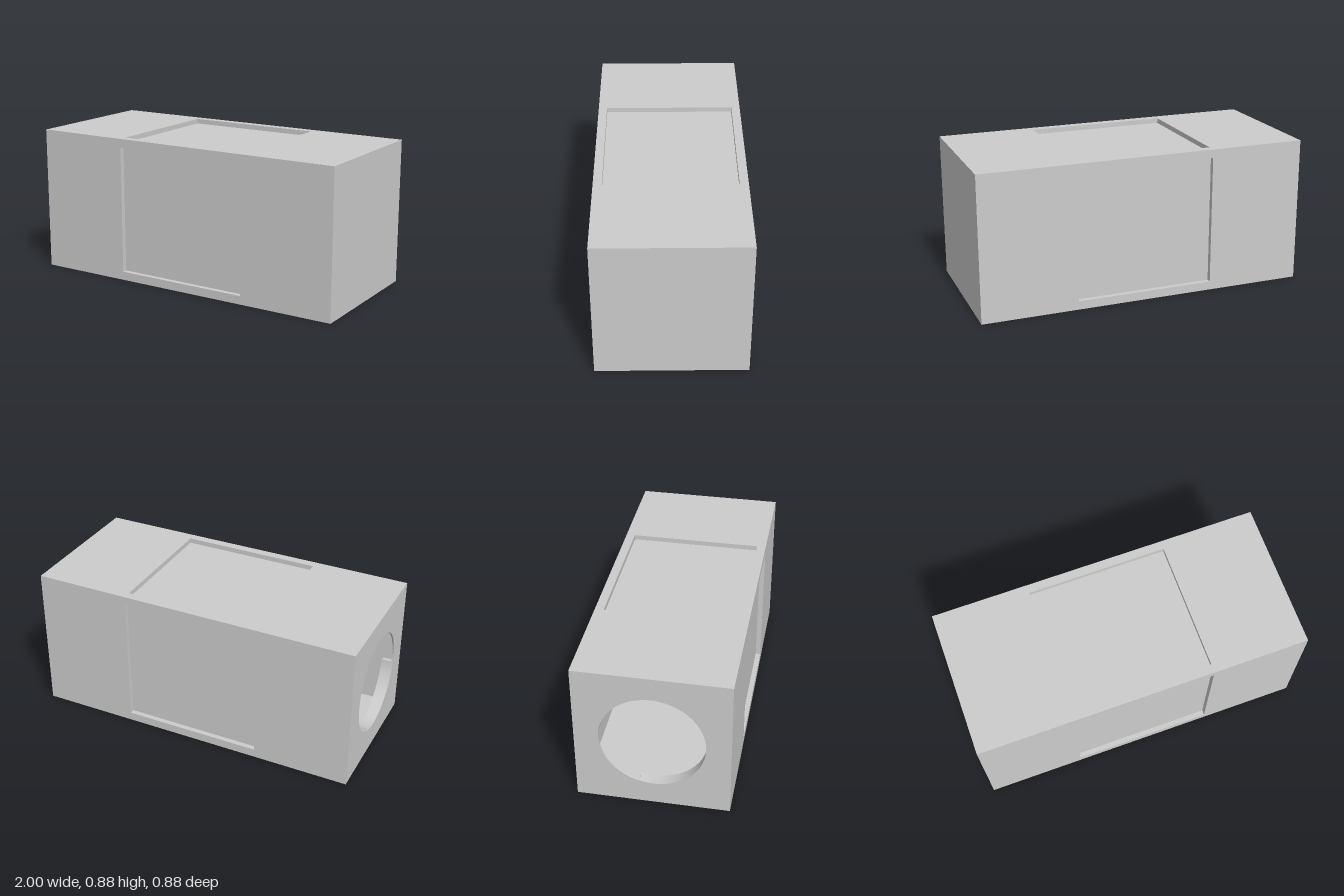
import * as THREE from 'three';

const HALF = 0.44;       // half width of the square section
const DEPTH = 0.03;      // depth of the recessed windows
const SKIN = 0.01;       // thickness of the window sheets and end plates
const HOLE = 0.30;       // radius of the end opening

const material = new THREE.MeshStandardMaterial({ color: 0xcccccc, side: THREE.DoubleSide });

function rectangle(Type, w, h) {
  const s = new Type();
  s.moveTo(-w, -h);
  s.lineTo(w, -h);
  s.lineTo(w, h);
  s.lineTo(-w, h);
  s.closePath();
  return s;
}

function extrude(shape, depth) {
  return new THREE.ExtrudeGeometry(shape, { depth, bevelEnabled: false, curveSegments: 48 });
}

function add(parent, name, geometry) {
  const mesh = new THREE.Mesh(geometry, material);
  mesh.name = name;
  parent.add(mesh);
  return mesh;
}

export function createModel() {
  const model = new THREE.Group();
  model.name = 'windowedBox';
  const body = new THREE.Group();
  body.name = 'body';
  body.position.y = HALF;
  model.add(body);

  // four long sides: a frame around a recessed square window
  ['front', 'bottom', 'back', 'top'].forEach((name, i) => {
    const side = new THREE.Group();
    side.name = name + 'Side';
    side.rotation.x = i * Math.PI / 2;
    body.add(side);

    // top and bottom frames cover the corners, the others fit between them
    const reach = i % 2 ? HALF : HALF - DEPTH;
    const frame = rectangle(THREE.Shape, 1 - SKIN, reach);
    frame.holes.push(rectangle(THREE.Path, 0.42, 0.388));
    add(side, name + 'Frame', extrude(frame, DEPTH)).position.z = HALF - DEPTH;

    const sheet = new THREE.BoxGeometry(2 - 2 * SKIN, 2 * (HALF - DEPTH), SKIN);
    add(side, name + 'Window', sheet).position.z = HALF - DEPTH - SKIN / 2;
  });

  // closed end
  add(body, 'closedEnd', new THREE.BoxGeometry(SKIN, 2 * HALF, 2 * HALF)).position.x = 1 - SKIN / 2;

  // open end, with a round opening into the hollow inside
  const plate = rectangle(THREE.Shape, HALF, HALF);
  plate.holes.push(new THREE.Path().absarc(0, 0, HOLE, 0, Math.PI * 2, true));
  const openEnd = new THREE.Group();
  openEnd.name = 'openEnd';
  openEnd.rotation.y = -Math.PI / 2;
  openEnd.position.x = -1;
  body.add(openEnd);
  add(openEnd, 'openEndPlate', extrude(plate, SKIN)).position.z = -SKIN;

  // two curved retaining tabs behind the opening
  for (const turn of [0, Math.PI]) {
    const from = -1.83 + turn, to = -0.12 + turn;
    const tab = new THREE.Shape();
    tab.absarc(0, 0, HOLE + 0.03, from, to, false);
    tab.absarc(0, 0, HOLE, to, from, true);
    tab.closePath();
    add(openEnd, 'retainingTab', extrude(tab, 0.06)).position.z = -0.06 - SKIN;
  }

  return model;
}
